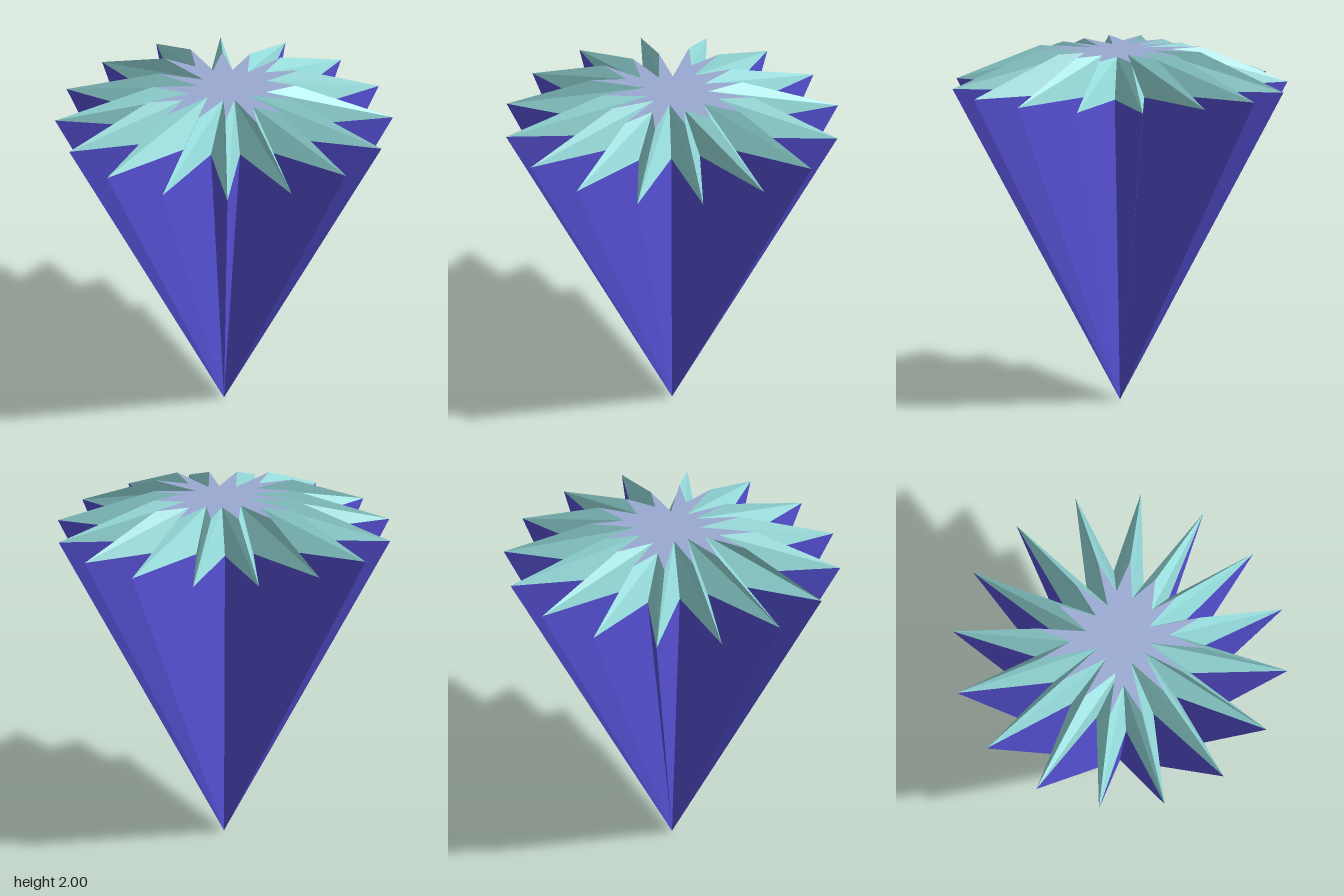
import * as THREE from 'three';

// Flat-shaded mesh from a list of triangles (each three Vector3 corners)
function facetMesh(name, triangles, color) {
  const geometry = new THREE.BufferGeometry().setFromPoints(triangles.flat());
  geometry.computeVertexNormals();
  const material = new THREE.MeshStandardMaterial({ color, flatShading: true, side: THREE.DoubleSide });
  const mesh = new THREE.Mesh(geometry, material);
  mesh.name = name;
  return mesh;
}

export function createModel() {
  const model = new THREE.Group();
  model.name = 'starGem';
  const girdleY = 1.79, topY = 2, points = 16;

  // Inner valley corners of the table (x, z), clockwise from the back
  const tableValleys = [
    [0, -0.28], [0.055, -0.186], [0.145, -0.126], [0.2, -0.055],
    [0.28, 0], [0.23, 0.085], [0.155, 0.19], [0.055, 0.166],
    [0, 0.28], [-0.04, 0.16], [-0.095, 0.13], [-0.146, 0.05],
    [-0.28, 0], [-0.185, -0.01], [-0.115, -0.085], [-0.05, -0.13],
  ];

  // Alternating valleys and tips of the girdle and of the table
  const polar = (r, a, y) => new THREE.Vector3(r * Math.sin(a), y, -r * Math.cos(a));
  const girdle = [], table = [];
  for (let i = 0; i < points; i++) {
    const valley = (i / points) * Math.PI * 2;
    const tip = valley + Math.PI / points;
    const [x, z] = tableValleys[i];
    girdle.push(polar(i % 4 === 0 ? 0.48 : 0.42, valley, girdleY), polar(0.95, tip, girdleY));
    const nearAxis = i % 4 === 0 || i % 4 === 3;
    table.push(new THREE.Vector3(x, topY, z), polar(nearAxis ? 0.465 : 0.4, tip, topY));
  }

  // Pavilion runs to the point, crown joins girdle to table, table closes the top
  const culet = new THREE.Vector3(0, 0, 0), centre = new THREE.Vector3(0, topY, 0);
  const pavilion = [], crown = [], cap = [];
  girdle.forEach((a, i) => {
    const j = (i + 1) % girdle.length;
    const b = girdle[j], c = table[i], d = table[j];
    pavilion.push([culet, a, b]);
    // Split every quad along the same valley-to-tip diagonal
    if (i % 2 === 0) crown.push([a, c, b], [b, c, d]);
    else crown.push([a, c, d], [a, d, b]);
    cap.push([centre, d, c]);
  });

  model.add(
    facetMesh('pavilion', pavilion, 0x5a54dc),
    facetMesh('crown', crown, 0x96dcdc),
    facetMesh('table', cap, 0x9aaad2),
  );
  return model;
}
